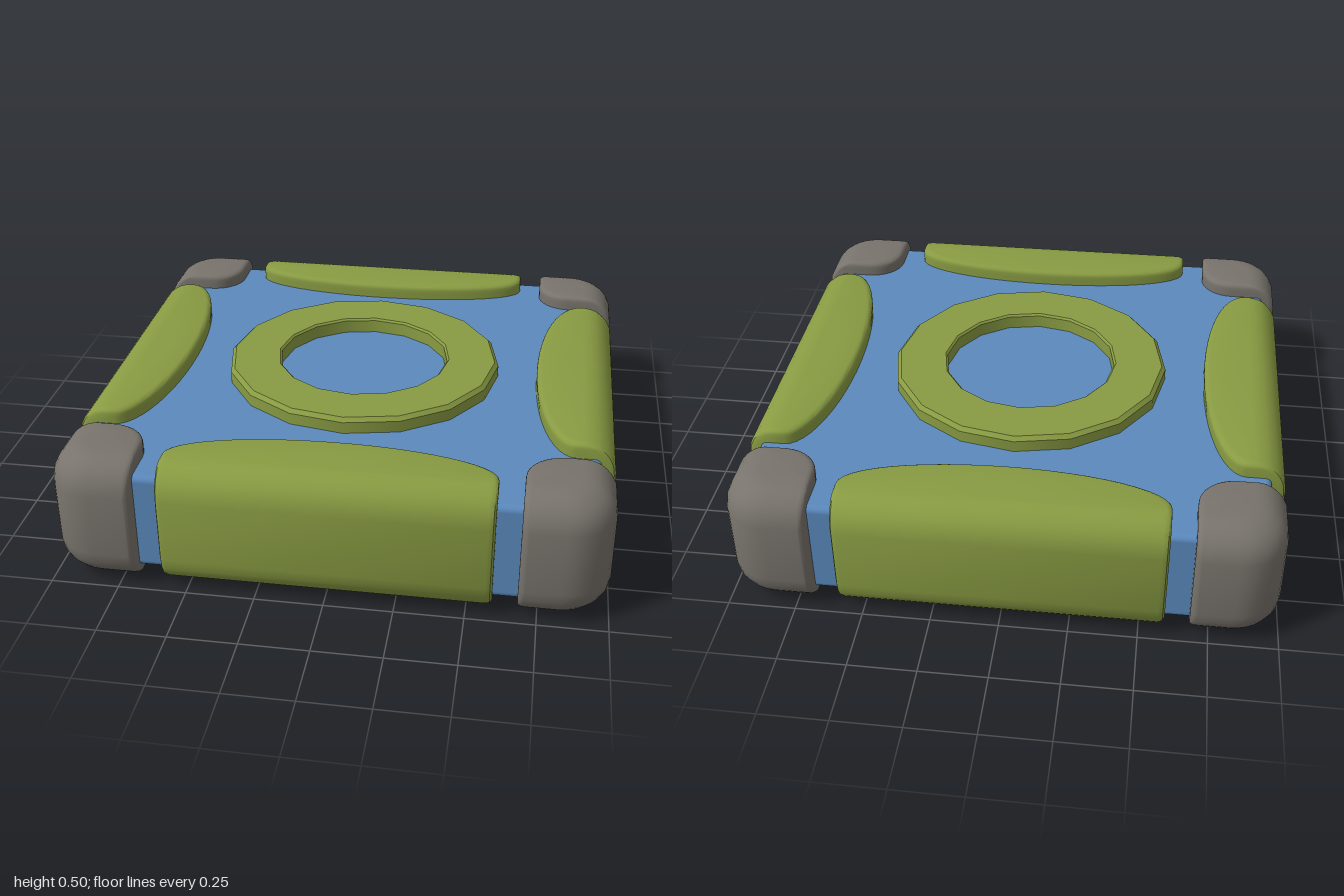
import * as THREE from 'three';
import { toCreasedNormals } from 'three/addons/utils/BufferGeometryUtils.js';
import { RoundedBoxGeometry } from 'three/addons/geometries/RoundedBoxGeometry.js';

const BOTTOM = 0.01, TOP = 0.5;
const OUTER_R = 0.125, INNER_R = 0.02;

// How far a rounded edge of radius r is drawn in, at distance h from the flat face
const inset = (h, r) => (h < r ? r - Math.sqrt(r * r - (r - h) ** 2) : 0);

// Solid from stacked outlines; outline(outerInset, innerInset) gives [x, z] points
function stackedPad(outline) {
  const steps = [0, 0.002, 0.007, 0.013, 0.02, 0.035, 0.055, 0.085, 0.125];
  const layers = [
    ...steps.map((h) => [BOTTOM + h, h]),
    ...steps.slice().reverse().map((h) => [TOP - h, h]),
  ];
  const pos = [], index = [];
  let n = 0;
  for (const [y, h] of layers) {
    const pts = outline(inset(h, OUTER_R), inset(h, INNER_R));
    n = pts.length;
    for (const [x, z] of pts) pos.push(x, y, z);
  }
  for (let l = 0; l < layers.length - 1; l++) {
    for (let i = 0; i < n; i++) {
      const a = l * n + i, b = l * n + (i + 1) % n;
      index.push(a, b, b + n, a, b + n, a + n);
    }
  }
  // Flat caps, fanned from the middle of the first and last outline
  for (const [l, flip] of [[0, true], [layers.length - 1, false]]) {
    let cx = 0, cz = 0;
    for (let i = 0; i < n; i++) {
      cx += pos[(l * n + i) * 3] / n;
      cz += pos[(l * n + i) * 3 + 2] / n;
    }
    const c = pos.length / 3;
    pos.push(cx, layers[l][0], cz);
    for (let i = 0; i < n; i++) {
      const a = l * n + i, b = l * n + (i + 1) % n;
      if (flip) index.push(c, b, a);
      else index.push(c, a, b);
    }
  }
  const g = new THREE.BufferGeometry();
  g.setAttribute('position', new THREE.Float32BufferAttribute(pos, 3));
  g.setIndex(index);
  return toCreasedNormals(g, 0.7);
}

// Side bumper: straight outer face, bowed inner edge
function bumperOutline(o, i) {
  const w = 0.592 - i, z0 = 0.853 + i, z1 = 1 - o, pts = [];
  for (let k = 0; k <= 24; k++) {
    const a = (Math.PI * k) / 24;
    pts.push([w * Math.cos(a), z0 - 0.16 * Math.sin(a)]);
  }
  const c = Math.max(0.001, Math.min(0.025, (z1 - z0) / 2));
  pts.push([-w, z1 - c], [-w + c * 0.3, z1 - c * 0.3], [-w + c, z1]);
  pts.push([w - c, z1], [w - c * 0.3, z1 - c * 0.3], [w, z1 - c]);
  return pts;
}

// Corner guard: square with large outer and inner roundings
function cornerOutline(o, i) {
  const lo = 0.68 + i, hi = 1 - o, pts = [];
  const corners = [
    [hi, hi, 0.17 - o * 0.75],
    [hi, lo, 0.025],
    [lo, lo, 0.13],
    [lo, hi, 0.025],
  ];
  corners.forEach(([x, z, r], q) => {
    const cx = x === hi ? x - r : x + r, cz = z === hi ? z - r : z + r;
    for (let k = 0; k <= 8; k++) {
      const a = ((q - 1 + k / 8) * Math.PI) / 2;
      pts.push([cx + r * Math.cos(a), cz - r * Math.sin(a)]);
    }
  });
  return pts;
}

export function createModel() {
  const model = new THREE.Group();
  const paint = (name, color) => {
    const m = new THREE.MeshStandardMaterial({ color });
    m.name = name;
    return m;
  };
  const blue = paint('blue', 0x5b89bd);
  const green = paint('green', 0x889b42);
  const grey = paint('grey', 0x78736c);

  const add = (name, geometry, material, turn = 0) => {
    const mesh = new THREE.Mesh(geometry, material);
    mesh.name = name;
    mesh.rotation.y = (turn * Math.PI) / 2;
    model.add(mesh);
  };

  // Central slab
  const slab = new RoundedBoxGeometry(1.89, 0.38, 1.89, 3, 0.025);
  slab.translate(0, 0.25, 0);
  add('slab', slab, blue);

  // Sixteen-sided ring standing out above and below the slab
  const profile = [
    [0.335, 0.008], [0.343, 0], [0.525, 0], [0.54, 0.015],
    [0.54, 0.485], [0.525, 0.5], [0.343, 0.5], [0.335, 0.492],
  ].map(([r, y]) => new THREE.Vector2(r, y));
  // Upper and lower rims: inner walls end inside the slab
  const ring = new THREE.LatheGeometry([...profile, profile[0]], 16);
  add('ring', toCreasedNormals(ring, 0.5), green);

  // Bumpers and corner guards, repeated around the slab
  const bumper = stackedPad(bumperOutline);
  const corner = stackedPad(cornerOutline);
  ['front', 'left', 'back', 'right'].forEach((side, k) => add(side + 'Bumper', bumper, green, k));
  ['frontLeft', 'backLeft', 'backRight', 'frontRight'].forEach((side, k) => add(side + 'Corner', corner, grey, k));
  return model;
}
